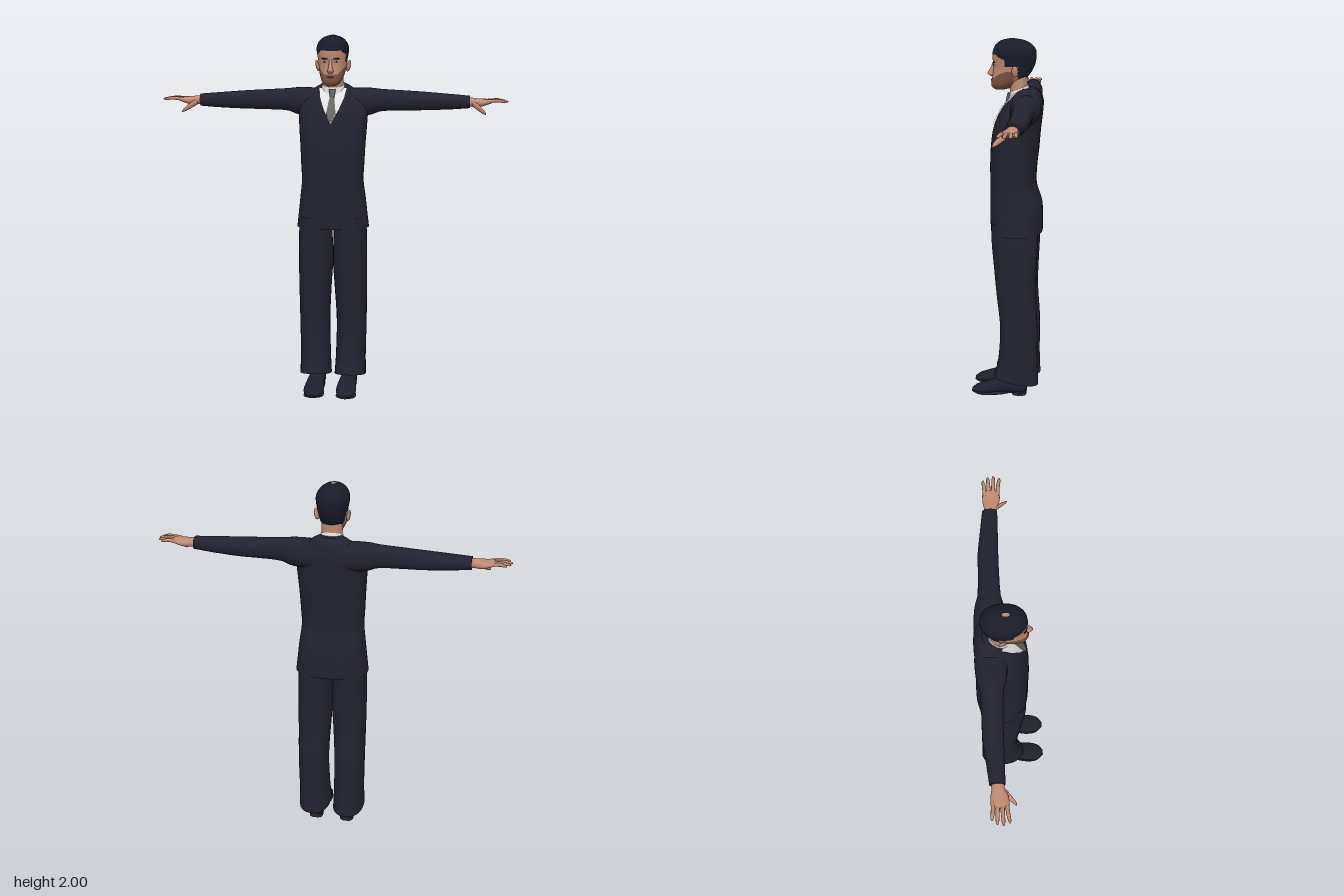
import * as THREE from 'three';

const mat = (name, color, side = THREE.FrontSide) => {
  const m = new THREE.MeshStandardMaterial({ color, side });
  m.name = name;
  return m;
};

// Smooth interpolation of profile rows; column 0 is the station along the axis
function sample(rows, k) {
  let i = 0;
  while (i < rows.length - 2 && k > rows[i + 1][0]) i++;
  const a = rows[i], b = rows[i + 1], p = rows[Math.max(i - 1, 0)], q = rows[Math.min(i + 2, rows.length - 1)];
  const h = b[0] - a[0], t = (k - a[0]) / h, t2 = t * t, t3 = t2 * t;
  return a.map((v, c) => {
    const m0 = (b[c] - p[c]) / (b[0] - p[0]) * h, m1 = (q[c] - a[c]) / (q[0] - a[0]) * h;
    return (2 * t3 - 3 * t2 + 1) * v + (t3 - 2 * t2 + t) * m0 + (3 * t2 - 2 * t3) * b[c] + (t3 - t2) * m1;
  });
}

const AXES = {
  x: (k, u, v) => [k, v, u],
  y: (k, u, v) => [u, k, v],
  z: (k, u, v) => [v, u, k],
};

// Loft of rounded sections. Rows: [station, centreU, centreV, radiusU, radiusV]
function loft(rows, axis, { rings = 24, segs = 28, n = 2.2, warp, rule } = {}) {
  const pos = [], lists = [[], [], []], at = AXES[axis];
  const put = (k, u, v) => {
    const p = at(k, u, v);
    if (warp) warp(p);
    pos.push(...p);
  };
  const pw = (s) => Math.sign(s) * Math.abs(s) ** (2 / n);
  const k0 = rows[0][0], k1 = rows[rows.length - 1][0];
  const ring = (k) => {
    const [, cu, cv, ru, rv] = sample(rows, k);
    for (let j = 0; j < segs; j++) {
      const a = j / segs * Math.PI * 2;
      put(k, cu + Math.max(ru, 0.001) * pw(Math.cos(a)), cv + Math.max(rv, 0.001) * pw(Math.sin(a)));
    }
  };
  for (let i = 0; i <= rings; i++) ring(k0 + (k1 - k0) * i / rings);
  for (let i = 0; i < rings; i++) for (let j = 0; j < segs; j++) {
    const a = i * segs + j, b = i * segs + (j + 1) % segs, c = a + segs, d = b + segs;
    const mid = [0, 1, 2].map((e) => (pos[a * 3 + e] + pos[b * 3 + e] + pos[c * 3 + e] + pos[d * 3 + e]) / 4);
    lists[rule ? rule(...mid) : 0].push(a, c, b, b, c, d);
  }
  // end caps with their own vertices so that rims stay sharp
  for (const end of [0, 1]) {
    const k = end ? k1 : k0, row = rows[end ? rows.length - 1 : 0], s = pos.length / 3;
    ring(k);
    put(k, row[1], row[2]);
    for (let j = 0; j < segs; j++) {
      const a = s + j, b = s + (j + 1) % segs;
      lists[0].push(s + segs, end ? b : a, end ? a : b);
    }
  }
  const g = new THREE.BufferGeometry();
  g.setAttribute('position', new THREE.Float32BufferAttribute(pos, 3));
  g.setIndex(lists.flat());
  let start = 0;
  if (rule) lists.forEach((l, i) => { g.addGroup(start, l.length, i); start += l.length; });
  g.computeVertexNormals();
  return g;
}

// Front surface of a vertical loft at x, y
function frontZ(rows, x, y, n) {
  const [, cx, cz, rx, rz] = sample(rows, y);
  return cz + rz * Math.max(0, 1 - Math.abs((x - cx) / rx) ** n) ** (1 / n);
}

// Thin plate following the front of a loft; widths: [y, halfWidth]
function frontPlate(rows, n, widths, offset) {
  const g = new THREE.PlaneGeometry(2, 1, 10, 28), p = g.attributes.position;
  const y0 = widths[0][0], y1 = widths[widths.length - 1][0];
  for (let i = 0; i < p.count; i++) {
    const y = y0 + (y1 - y0) * (p.getY(i) + 0.5);
    const s = widths.findIndex((w, j) => j > 0 && y <= w[0] + 1e-6);
    const [ya, wa] = widths[s - 1], [yb, wb] = widths[s];
    const x = p.getX(i) * (wa + (wb - wa) * (y - ya) / (yb - ya));
    p.setXYZ(i, x, y, frontZ(rows, x, y, n) + offset);
  }
  g.computeVertexNormals();
  return g;
}

function mirrored(geo) {
  const g = geo.clone().scale(-1, 1, 1), ix = g.index.array;
  for (let i = 0; i < ix.length; i += 3) [ix[i], ix[i + 1]] = [ix[i + 1], ix[i]];
  return g;
}

export function createModel() {
  const model = new THREE.Group();
  model.name = 'suitedMan';
  const suit = mat('navy suit', 0x222230), hairMat = mat('dark hair', 0x181c28);
  const skin = mat('skin', 0xc08b70), beard = mat('beard', 0x7c5340);
  const shirt = mat('white shirt', 0xe2e2e2, THREE.DoubleSide), tieMat = mat('grey tie', 0x666864, THREE.DoubleSide);
  const shoeMat = mat('shoe leather', 0x1e202c), soleMat = mat('sole', 0x2b2b2d), lip = mat('lips', 0x93594a);

  const add = (name, geo, material) => {
    const m = new THREE.Mesh(geo, material);
    m.name = name;
    model.add(m);
  };
  const pair = (name, geo, material) => {
    add('left' + name, geo, material);
    add('right' + name, mirrored(geo), material);
  };

  // Jacket body
  const torso = [
    [0.94, 0, -0.047, 0.2, 0.142], [1.0, 0, -0.045, 0.193, 0.144], [1.1, 0, -0.043, 0.182, 0.142],
    [1.2, 0, -0.028, 0.171, 0.127], [1.3, 0, -0.028, 0.175, 0.128], [1.4, 0, -0.035, 0.18, 0.132],
    [1.5, 0, -0.045, 0.187, 0.13], [1.57, 0, -0.06, 0.19, 0.123], [1.63, 0, -0.08, 0.18, 0.108],
    [1.68, 0, -0.095, 0.14, 0.085], [1.72, 0, -0.1, 0.09, 0.06], [1.735, 0, -0.1, 0.06, 0.04],
  ];
  add('jacket', loft(torso, 'y', { rings: 50, segs: 48, n: 2.4 }), suit);

  // Sleeves
  pair('Sleeve', loft([
    [0.03, -0.1, 1.625, 0.08, 0.08], [0.1, -0.1, 1.63, 0.085, 0.078], [0.2, -0.1, 1.634, 0.077, 0.075],
    [0.26, -0.1, 1.641, 0.061, 0.062], [0.4, -0.1, 1.64, 0.055, 0.055], [0.5, -0.1, 1.638, 0.054, 0.051],
    [0.65, -0.091, 1.636, 0.046, 0.042], [0.75, -0.085, 1.636, 0.04, 0.034],
  ], 'x', { rings: 40 }), suit);

  // Shirt front, collar and tie
  add('shirtFront', frontPlate(torso, 2.4, [[1.525, 0.001], [1.6, 0.042], [1.66, 0.066], [1.71, 0.075]], 0.004), shirt);
  add('collar', loft([[1.665, 0, -0.06, 0.08, 0.063], [1.7, 0, -0.059, 0.068, 0.055], [1.735, 0, -0.057, 0.06, 0.049]],
    'y', { rings: 8, segs: 36, warp: (p) => { p[1] -= (p[2] + 0.06) * 0.4; } }), shirt);
  add('tie', frontPlate(torso, 2.4, [[1.53, 0.002], [1.575, 0.027], [1.665, 0.012], [1.675, 0.012]], 0.009), tieMat);
  const knot = new THREE.CylinderGeometry(0.019, 0.012, 0.045, 12);
  add('tieKnot', knot.scale(1, 1, 0.7).rotateX(-0.35).translate(0, 1.682, 0.001), tieMat);

  // Neck and head, coloured by region
  add('neck', loft([[1.66, 0, -0.06, 0.058, 0.05], [1.73, 0, -0.054, 0.056, 0.047], [1.8, 0, -0.05, 0.056, 0.055]],
    'y', { rings: 6 }), skin);
  const head = [
    [1.725, 0, 0.045, 0.02, 0.025], [1.735, 0, 0.035, 0.04, 0.052], [1.75, 0, 0.03, 0.052, 0.064],
    [1.775, 0, 0.01, 0.063, 0.083], [1.8, 0, -0.01, 0.07, 0.098], [1.84, 0, -0.025, 0.076, 0.108],
    [1.87, 0, -0.03, 0.08, 0.115], [1.91, 0, -0.031, 0.087, 0.119], [1.94, 0, -0.032, 0.086, 0.115],
    [1.97, 0, -0.028, 0.07, 0.095], [1.99, 0, -0.024, 0.043, 0.062], [2.0, 0, -0.02, 0.01, 0.018],
  ];
  const region = (x, y, z) => {
    const ax = Math.abs(x);
    if (y > 1.918 - Math.max(0, ax - 0.055) || (z < 0.015 && y > 1.855) || (z < -0.055 && y > 1.77)) return 2;
    return z > -0.03 && y < 1.79 + Math.max(0, ax - 0.035) ? 1 : 0;
  };
  add('head', loft(head, 'y', { rings: 80, segs: 80, n: 2.15, rule: region }), [skin, beard, hairMat]);

  // Facial features
  add('nose', loft([
    [1.797, 0, 0.088, 0.012, 0.01], [1.808, 0, 0.091, 0.018, 0.023], [1.82, 0, 0.09, 0.013, 0.021],
    [1.845, 0, 0.085, 0.009, 0.012], [1.872, 0, 0.08, 0.008, 0.007],
  ], 'y', { rings: 16, segs: 16, n: 2 }), skin);
  add('mouth', new THREE.SphereGeometry(1, 16, 8).scale(0.024, 0.004, 0.005)
    .translate(0, 1.776, frontZ(head, 0, 1.776, 2.15) - 0.002), lip);
  const onFace = (g, x, y, tilt) => g.rotateY(0.35).rotateZ(tilt).translate(x, y, frontZ(head, x, y, 2.15));
  pair('Eyebrow', onFace(new THREE.SphereGeometry(1, 14, 8).scale(0.02, 0.004, 0.005), 0.033, 1.874, 0.05), hairMat);
  pair('Eye', onFace(new THREE.SphereGeometry(1, 14, 8).scale(0.012, 0.004, 0.004), 0.032, 1.858, 0), shirt);
  pair('Iris', onFace(new THREE.SphereGeometry(1, 10, 8).scale(0.005, 0.0042, 0.005), 0.032, 1.858, 0), hairMat);
  pair('Ear', new THREE.SphereGeometry(1, 16, 12).scale(0.009, 0.032, 0.02).rotateY(-0.4).rotateZ(-0.2)
    .translate(0.086, 1.832, -0.04), skin);

  // Hands: palm, four fanned fingers and a lowered thumb
  pair('Palm', loft([
    [0.735, -0.083, 1.637, 0.03, 0.025], [0.77, -0.081, 1.635, 0.033, 0.024], [0.81, -0.076, 1.633, 0.045, 0.022],
    [0.855, -0.075, 1.64, 0.046, 0.014], [0.872, -0.075, 1.642, 0.042, 0.009],
  ], 'x', { rings: 14, segs: 20 }), skin);
  const fingers = [[-0.108, -0.116, 0.932], [-0.086, -0.09, 0.952], [-0.064, -0.06, 0.958], [-0.042, -0.03, 0.946]];
  fingers.forEach(([z0, z1, tip], i) => pair('Finger' + (i + 1), loft([
    [0.84, z0, 1.642, 0.011, 0.01], [0.9, (z0 + z1) / 2, 1.647, 0.01, 0.009],
    [tip - 0.012, z1, 1.643, 0.008, 0.007], [tip, z1, 1.641, 0.003, 0.003],
  ], 'x', { rings: 12, segs: 10, n: 2 }), skin));
  pair('Thumb', loft([
    [0.765, -0.065, 1.63, 0.016, 0.018], [0.795, -0.036, 1.61, 0.016, 0.017],
    [0.825, -0.008, 1.588, 0.012, 0.012], [0.84, 0.006, 1.576, 0.004, 0.004],
  ], 'x', { rings: 12, segs: 12, n: 2 }), skin);

  // Trouser legs with a hem that drops toward the back
  pair('TrouserLeg', loft([
    [0.09, 0.098, -0.05, 0.088, 0.126], [0.2, 0.1, -0.06, 0.084, 0.111], [0.4, 0.104, -0.066, 0.084, 0.105],
    [0.6, 0.1, -0.05, 0.09, 0.109], [0.75, 0.096, -0.045, 0.095, 0.118], [0.9, 0.097, -0.042, 0.092, 0.128],
    [1.0, 0.095, -0.042, 0.088, 0.128],
  ], 'y', {
    rings: 36, n: 2.35,
    warp: (p) => { p[1] += (p[2] + 0.05) * 0.17 * Math.max(0, 1 - (p[1] - 0.09) / 0.11); },
  }), suit);

  // Shoes: upper, ankle, sole and heel
  pair('Shoe', loft([
    [-0.112, 0.05, 0.09, 0.03, 0.02], [-0.095, 0.056, 0.09, 0.044, 0.042], [-0.03, 0.057, 0.09, 0.045, 0.045],
    [0.03, 0.056, 0.09, 0.046, 0.047], [0.08, 0.044, 0.09, 0.034, 0.054], [0.13, 0.034, 0.091, 0.025, 0.055],
    [0.175, 0.027, 0.091, 0.017, 0.041], [0.198, 0.022, 0.091, 0.007, 0.014],
  ], 'z', { rings: 32, n: 2.4 }), shoeMat);
  pair('Ankle', loft([[0.06, 0.09, -0.045, 0.042, 0.062], [0.2, 0.095, -0.055, 0.045, 0.055]], 'y', { rings: 4 }), shoeMat);
  pair('Sole', loft([
    [-0.11, 0.02, 0.09, 0.005, 0.025], [-0.09, 0.02, 0.09, 0.006, 0.042], [-0.02, 0.018, 0.09, 0.006, 0.038],
    [0.03, 0.01, 0.09, 0.006, 0.044], [0.1, 0.007, 0.09, 0.006, 0.056], [0.16, 0.009, 0.091, 0.006, 0.049],
    [0.2, 0.014, 0.091, 0.004, 0.014],
  ], 'z', { rings: 28, n: 2.8 }), soleMat);
  pair('Heel', loft([[0, 0.09, -0.068, 0.038, 0.04], [0.025, 0.09, -0.068, 0.041, 0.042]], 'y', { rings: 1, n: 2.8 }), soleMat);

  return model;
}
